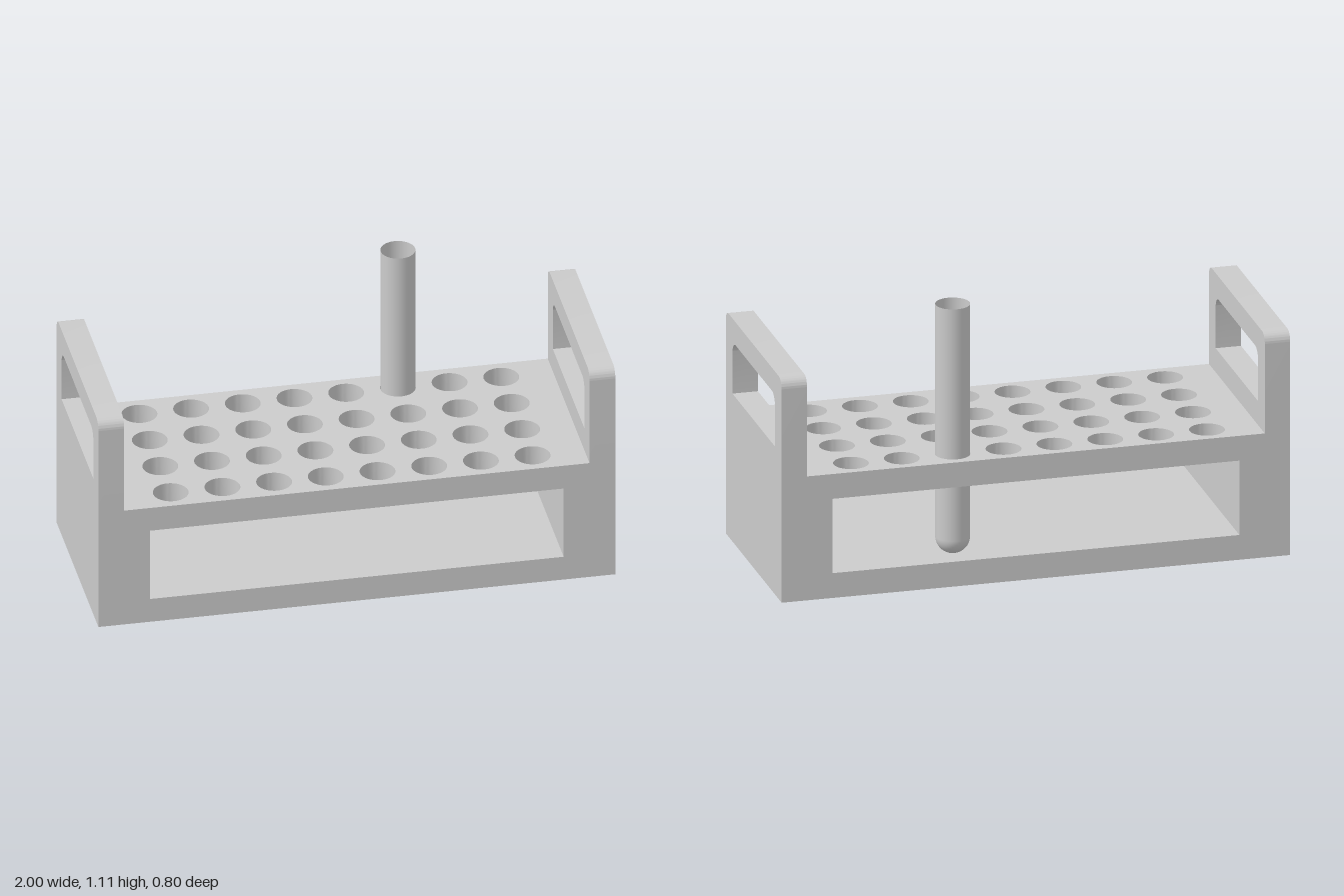
import * as THREE from 'three';
import { toCreasedNormals } from 'three/addons/utils/BufferGeometryUtils.js';

const HOLE_R = 0.068, TUBE_R = 0.0665, DEPTH = 0.8;

// Upright panel outline: square at the bottom, rounded at the two top corners
function archOutline(target, halfWidth, bottom, top, r) {
  target.moveTo(-halfWidth, bottom);
  target.lineTo(halfWidth, bottom);
  target.lineTo(halfWidth, top - r);
  target.absarc(halfWidth - r, top - r, r, 0, Math.PI / 2, false);
  target.absarc(-halfWidth + r, top - r, r, Math.PI / 2, Math.PI, false);
  target.closePath();
  return target;
}

function extrude(shape, depth) {
  const geo = new THREE.ExtrudeGeometry(shape, { depth, bevelEnabled: false, curveSegments: 24 });
  return toCreasedNormals(geo, 0.6);
}

export function createModel() {
  const group = new THREE.Group();
  const material = new THREE.MeshStandardMaterial({ color: 0xcccccc });
  const add = (name, geometry, mat = material) => {
    const mesh = new THREE.Mesh(geometry, mat);
    mesh.name = name;
    group.add(mesh);
    return mesh;
  };

  // U-shaped frame: base slab and two thick end walls
  const frame = new THREE.Shape([
    [-1, 0], [1, 0], [1, 0.5], [0.8, 0.5], [0.8, 0.1], [-0.8, 0.1], [-0.8, 0.5], [-1, 0.5],
  ].map(([x, y]) => new THREE.Vector2(x, y)));
  add('frame', extrude(frame, DEPTH)).position.z = -DEPTH / 2;

  // Top plate with a grid of 8 x 4 through holes
  const plate = new THREE.Shape([
    [-0.8, -0.4], [0.8, -0.4], [0.8, 0.4], [-0.8, 0.4],
  ].map(([x, y]) => new THREE.Vector2(x, y)));
  for (let col = 0; col < 8; col++) {
    for (let row = 0; row < 4; row++) {
      const hole = new THREE.Path();
      hole.absarc(-0.7 + col * 0.2, -0.3 + row * 0.2, HOLE_R, 0, Math.PI * 2, true);
      plate.holes.push(hole);
    }
  }
  add('holePlate', extrude(plate, 0.1).rotateX(-Math.PI / 2)).position.y = 0.4;

  // Carrying handles above the end walls
  const handle = archOutline(new THREE.Shape(), DEPTH / 2, 0.5, 0.9, 0.04);
  handle.holes.push(archOutline(new THREE.Path(), 0.304, 0.597, 0.807, 0.045));
  const handleGeo = extrude(handle, 0.1).rotateY(Math.PI / 2);
  add('leftHandle', handleGeo).position.x = 0.9;
  add('rightHandle', handleGeo).position.x = -1;

  // Thin test tube with a round bottom and an open top
  const profile = [];
  for (let i = 0; i <= 12; i++) {
    const a = (i / 12) * Math.PI / 2;
    profile.push(new THREE.Vector2(TUBE_R * Math.sin(a), TUBE_R * (1 - Math.cos(a))));
  }
  profile.push(new THREE.Vector2(TUBE_R, 1.003));
  const glass = new THREE.MeshStandardMaterial({ color: 0xcccccc, side: THREE.DoubleSide });
  add('testTube', new THREE.LatheGeometry(profile, 48), glass).position.set(0.3, 0.102, -0.3);

  return group;
}
